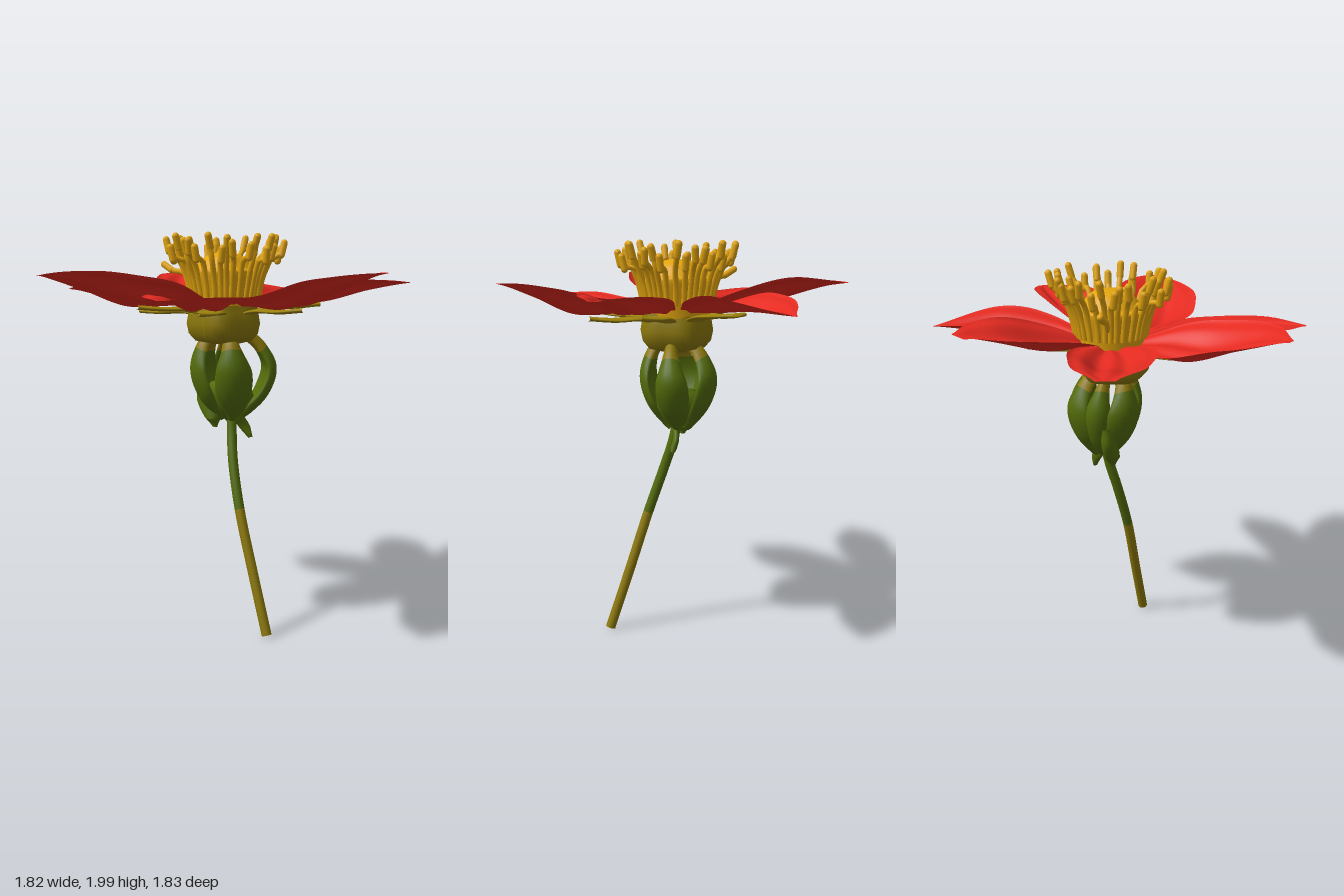
import * as THREE from 'three';
import { ParametricGeometry } from 'three/addons/geometries/ParametricGeometry.js';

const V = (x, y, z) => new THREE.Vector3(x, y, z);
const CX = -0.02, CZ = -0.02; // flower axis
const rad = THREE.MathUtils.degToRad;

function makeMaterial(name, color, side = THREE.FrontSide) {
  const m = new THREE.MeshStandardMaterial({ color, side });
  m.name = name;
  return m;
}

// Smooth interpolation through evenly spaced values
function profile(values) {
  const curve = new THREE.SplineCurve(values.map((v, i) => new THREE.Vector2(i, v)));
  return t => curve.getPoint(t).y;
}

// Solid leaf: an elliptical section swept along a path, edges curled back by `curl`
function leaf(points, side, widths, thick, { from = 0, to = 1, curl = 0 } = {}) {
  const path = new THREE.CatmullRomCurve3(points);
  const width = profile(widths);
  return new ParametricGeometry((u, v, out) => {
    const t = from + (to - from) * v, a = u * Math.PI * 2;
    const n = path.getTangent(t).cross(side).normalize();
    const w = Math.max(width(t), 0.002);
    const h = Math.min(thick, w) * Math.sin(a) - curl * w * Math.cos(a) ** 2;
    out.copy(path.getPoint(t)).addScaledVector(side, w * Math.cos(a)).addScaledVector(n, h);
  }, 20, 20);
}

// Height of a petal's midline from base to tip
const midline = ({ tip, mid }) => profile([1.635, 1.635 + (mid - 1.635) * 0.5, mid, (mid + tip[1]) / 2 + 0.005, tip[1]]);

// Thin cupped petal from the flower axis to its tip
function petal(p) {
  const { tip, half, bend, ends, roll = 0, cup = 0.08 } = p;
  const len = Math.hypot(tip[0] - CX, tip[2] - CZ);
  const dx = (tip[0] - CX) / len, dz = (tip[2] - CZ) / len;
  const height = midline(p);
  const width = profile([0.2, 0.5, 0.85, 1, 1, 0.93, ...ends]);
  return new ParametricGeometry((u, v, out) => {
    const s = u * 2 - 1, along = 0.06 + (len - 0.06) * v;
    const swell = Math.sin(Math.PI * v);
    const w = s * half * width(v) + bend * swell;
    const folds = 0.011 * Math.cos(s * Math.PI * 3) + cup * s * s + 0.006 * Math.sin(v * 9 + s * 2);
    out.set(CX + dx * along - dz * w, height(v) + swell * (folds + roll * s), CZ + dz * along + dx * w);
  }, 32, 32);
}

// Slim bract hugging the underside of a petal
function bract(p, droop) {
  const { tip } = p;
  const height = midline(p);
  const len = Math.hypot(tip[0] - CX, tip[2] - CZ);
  const a = Math.atan2(tip[2] - CZ, tip[0] - CX);
  const at = (r, y) => V(CX + r * Math.cos(a), y, CZ + r * Math.sin(a));
  const under = r => at(r, height(r / len) - 0.028 - droop * r);
  return leaf([at(0.08, 1.58), under(0.21), under(0.35), under(0.48)],
    V(Math.sin(a), 0, -Math.cos(a)), [0.05, 0.062, 0.066, 0.058, 0.02], 0.011);
}

export function createModel() {
  const model = new THREE.Group();
  const red = makeMaterial('petal red', 0xe32a20, THREE.DoubleSide);
  const yellow = makeMaterial('stamen yellow', 0xe2a40e);
  const gold = makeMaterial('bract gold', 0x9c820c);
  const olive = makeMaterial('olive', 0x8c780a);
  const green = makeMaterial('leaf green', 0x536b0a);
  const add = (name, geometry, material, parent = model) => {
    const mesh = new THREE.Mesh(geometry, material);
    mesh.name = name;
    parent.add(mesh);
    return mesh;
  };
  const group = name => {
    const g = new THREE.Group();
    g.name = name;
    model.add(g);
    return g;
  };

  // Seven petals, each with a bract under its base
  const petals = group('petals'), bracts = group('bracts');
  [
    { tip: [-0.02, 1.68, -0.92], mid: 1.68, half: 0.2, bend: 0, ends: [0.55, 0.03] },
    { tip: [0.75, 1.75, -0.55], mid: 1.67, half: 0.165, bend: 0.045, ends: [0.7, 0.15] },
    { tip: [0.90, 1.80, 0.06], mid: 1.65, half: 0.23, bend: 0.08, roll: -0.01, ends: [0.62, 0.06] },
    { tip: [0.28, 1.69, 0.91], mid: 1.64, half: 0.2, bend: -0.045, ends: [0.7, 0.06], cup: 0.06 },
    { tip: [-0.46, 1.79, 0.84], mid: 1.665, half: 0.205, bend: 0.005, roll: -0.045, ends: [0.72, 0.1] },
    { tip: [-0.91, 1.71, 0.12], mid: 1.645, half: 0.195, bend: -0.02, ends: [0.76, 0.22] },
    { tip: [-0.63, 1.79, -0.58], mid: 1.705, half: 0.185, bend: -0.07, roll: 0.02, ends: [0.8, 0.3] },
  ].forEach((p, i) => {
    add('petal', petal(p), red, petals);
    add('bract', bract(p, i === 5 ? 0.04 : 0), gold, bracts);
  });

  // Lobed receptacle below the petals
  const receptacle = new THREE.LatheGeometry(
    [[0, 1.46], [0.08, 1.45], [0.14, 1.465], [0.17, 1.5], [0.18, 1.55], [0.172, 1.6], [0.165, 1.64]]
      .map(p => new THREE.Vector2(...p)), 48);
  const pos = receptacle.attributes.position;
  for (let i = 0; i < pos.count; i++) {
    const x = pos.getX(i), z = pos.getZ(i);
    const k = 1 + 0.05 * Math.cos(5 * Math.atan2(z, x) + 0.6);
    pos.setX(i, x * k);
    pos.setZ(i, z * k);
  }
  receptacle.computeVertexNormals();
  add('receptacle', receptacle, olive).position.set(-0.015, 0, -0.01);

  // Yellow cup with a dome in the middle
  const discCurve = new THREE.SplineCurve(
    [[0.165, 1.62], [0.175, 1.7], [0.195, 1.79], [0.19, 1.815], [0.155, 1.815], [0.135, 1.835], [0.1, 1.875], [0.05, 1.895], [0.0, 1.9]]
      .map(p => new THREE.Vector2(...p)));
  const disc = add('centralDome', new THREE.LatheGeometry(
    discCurve.getPoints(32).map(p => new THREE.Vector2(Math.max(p.x, 0), p.y)), 40), yellow);
  disc.position.set(CX, 0, CZ);

  // Ring of stamens with thick anthers
  const stamens = group('stamens');
  stamens.position.set(CX, 0, CZ);
  const stamen = (points) => {
    const path = new THREE.CatmullRomCurve3(points);
    add('filament', new THREE.TubeGeometry(path, 10, 0.014, 7), yellow, stamens);
    const anther = add('anther', new THREE.CapsuleGeometry(0.0175, 0.06, 3, 8), yellow, stamens);
    anther.position.copy(path.getPoint(0.86));
    anther.quaternion.setFromUnitVectors(V(0, 1, 0), path.getTangent(0.9));
  };
  const count = 34;
  for (let i = 0; i < count; i++) {
    const a = (i + 0.25 * Math.sin(i * 5.1)) / count * Math.PI * 2;
    const reach = 0.275 + 0.025 * Math.sin(i * 2.4), top = 1.95 + 0.03 * Math.sin(i * 3.7 + 1);
    const at = (r, y, twist = 0) => V(r * Math.cos(a + twist), y, r * Math.sin(a + twist));
    stamen([at(0.17, 1.68), at(0.192, 1.78), at(0.225, 1.86),
      at(reach - 0.02, top - 0.06, 0.04 * Math.sin(i * 1.9)), at(reach, top, 0.07 * Math.sin(i * 1.9))]);
  }
  stamen([V(-0.18, 1.74, 0.02), V(-0.24, 1.80, 0.02), V(-0.30, 1.81, 0.025), V(-0.36, 1.84, 0.02)]);

  // Green sepals folded down around the stem, olive where they join the receptacle
  const calyx = group('calyx');
  [[-47, 1.35, 0.85], [48, 1.02, 1], [135, 1.08, 1], [186, 1.02, 0.7], [235, 1.08, 1]].forEach(([deg, r, w]) => {
    const a = rad(deg), c = Math.cos(a), s = Math.sin(a);
    const at = (d, y, z) => V(-0.005 + d * r * c, y, z + d * r * s);
    const points = [at(0.08, 1.49, -0.02), at(0.125, 1.43, -0.03), at(0.16, 1.32, -0.045),
      at(0.125, 1.19, -0.05), at(0.03, 1.07, -0.055)];
    const widths = [0.035, 0.05, 0.09, 0.088, 0.025].map(x => x * w);
    const side = V(s, 0, -c);
    add('sepalBase', leaf(points, side, widths, 0.03, { to: 0.28, curl: 0.3 }), olive, calyx);
    add('sepal', leaf(points, side, widths, 0.03, { from: 0.28, curl: 0.3 }), green, calyx);
  });
  add('calyxCore', new THREE.LatheGeometry(
    [[0.02, 1.05], [0.07, 1.1], [0.12, 1.18], [0.1, 1.25], [0, 1.27]].map(p => new THREE.Vector2(...p)), 24),
  green, calyx).position.set(-0.005, 0, -0.05);

  // Loose sepal tips hanging beside the stem
  add('hangingTip', leaf([V(0.01, 1.14, -0.05), V(0.025, 1.08, -0.07), V(0.045, 1.02, -0.105), V(0.075, 0.96, -0.12)],
    V(0.5, 0, -0.866), [0.03, 0.035, 0.032, 0.012], 0.016), green, calyx);
  add('hangingTip', leaf([V(-0.12, 1.24, -0.02), V(-0.11, 1.15, -0.01), V(-0.085, 1.08, -0.005), V(-0.065, 1.02, 0)],
    V(1, 0, 0), [0.06, 0.068, 0.05, 0.012], 0.04), green, calyx);

  // Curved stem, olive at the foot and green above
  const stemPath = new THREE.CatmullRomCurve3([V(0.315, 0.012, 0.103), V(0.215, 0.31, 0.075), V(0.115, 0.62, 0.045),
    V(0.045, 0.86, 0.0), V(0.015, 1.0, -0.035), V(0.0, 1.12, -0.055)]).getPoints(50);
  [['lowerStem', 0, 21, olive], ['upperStem', 20, 51, green]].forEach(([name, a, b, material]) => {
    add(name, new THREE.TubeGeometry(new THREE.CatmullRomCurve3(stemPath.slice(a, b)), 30, 0.025, 14), material);
  });
  const cut = add('stemCut', new THREE.CircleGeometry(0.025, 14), olive);
  cut.position.copy(stemPath[0]);
  cut.quaternion.setFromUnitVectors(V(0, 0, 1), stemPath[0].clone().sub(stemPath[1]).normalize());

  return model;
}
